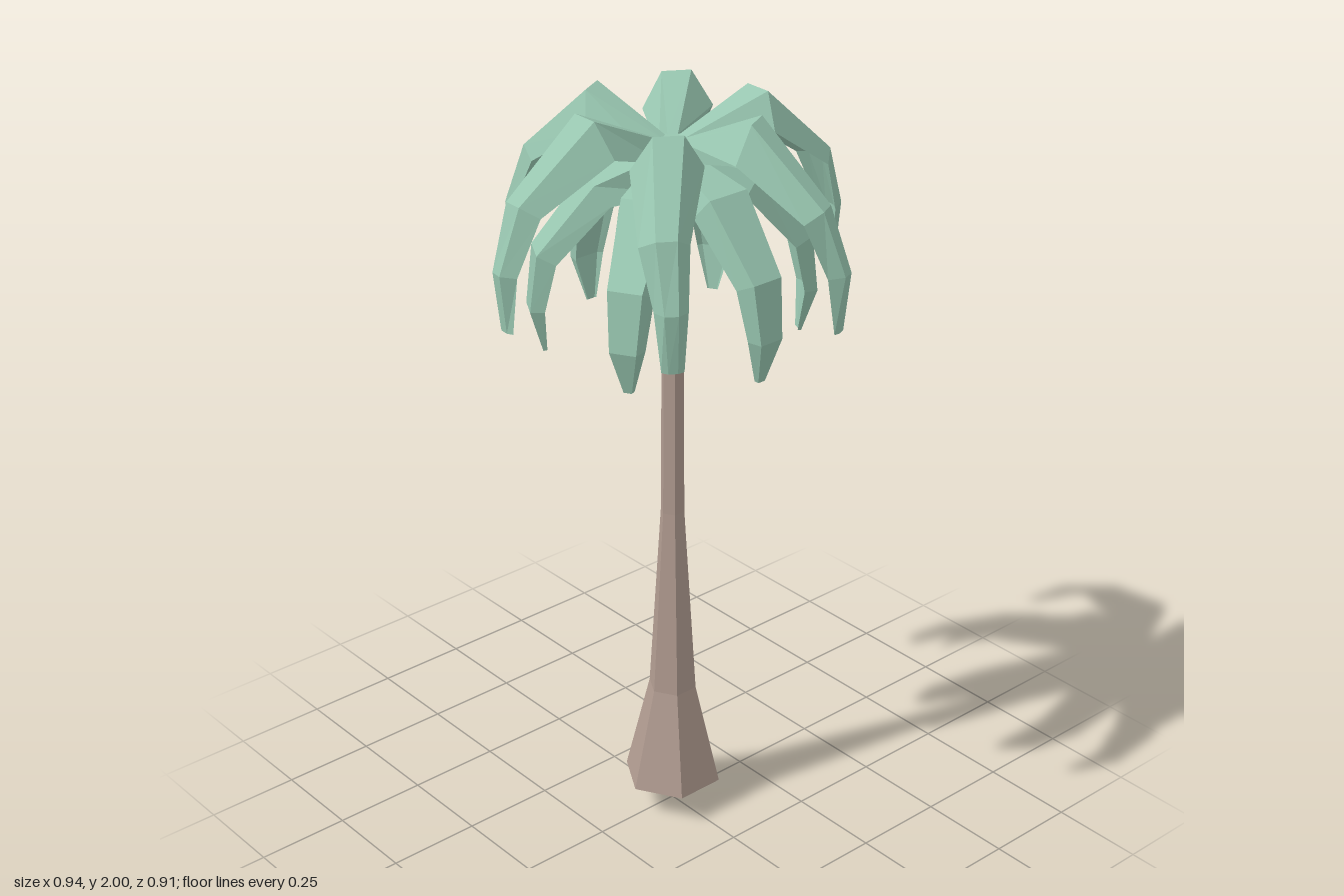
import * as THREE from 'three';

const barkMat = new THREE.MeshStandardMaterial({ color: 0xb19c91, flatShading: true });
const leafMat = new THREE.MeshStandardMaterial({ color: 0x98c6b0, flatShading: true });

// Frond that runs out along +x. Each ring: [x, y, z, halfWidth, depth, yaw];
// ridge is the share of the width taken by the flat top.
function frondGeometry(rings, ridge) {
  const centers = rings.map((r) => new THREE.Vector3(r[0], r[1], r[2]));
  const pos = [];
  const idx = [];
  rings.forEach(([, , , w, d, yaw], i) => {
    const prev = centers[Math.max(i - 1, 0)];
    const next = centers[Math.min(i + 1, rings.length - 1)];
    const tangent = next.clone().sub(prev).normalize();
    const side = new THREE.Vector3(-Math.sin(yaw), 0, Math.cos(yaw));
    const up = side.clone().cross(tangent).normalize();
    // folded cross-section: flat ridge, drooping edges, hollow underside
    const a = w * ridge;
    const section = [[-w, -d], [-a, 0], [a, 0], [w, -d], [a, -d * 0.7], [-a, -d * 0.7]];
    for (const [s, u] of section) {
      const p = centers[i].clone().addScaledVector(side, s).addScaledVector(up, u);
      pos.push(p.x, p.y, p.z);
    }
  });
  const n = 6;
  for (let i = 0; i < rings.length - 1; i++) {
    for (let j = 0; j < n; j++) {
      const a = i * n + j;
      const b = i * n + ((j + 1) % n);
      idx.push(a, b, b + n, a, b + n, a + n);
    }
  }
  // end caps
  const e = (rings.length - 1) * n;
  for (const [a, b, c] of [[0, 1, 5], [1, 2, 4], [1, 4, 5], [2, 3, 4]]) {
    idx.push(e + a, e + b, e + c, c, b, a);
  }
  const g = new THREE.BufferGeometry();
  g.setAttribute('position', new THREE.Float32BufferAttribute(pos, 3));
  g.setIndex(idx);
  g.computeVertexNormals();
  return g;
}

// Six copies of a frond around the crown
function frondRing(name, rings, ridge, startAngle) {
  const group = new THREE.Group();
  group.name = name;
  const geometry = frondGeometry(rings, ridge);
  for (let k = 0; k < 6; k++) {
    const frond = new THREE.Mesh(geometry, leafMat);
    frond.name = 'frond';
    frond.rotation.y = -(startAngle + (k * Math.PI) / 3);
    group.add(frond);
  }
  return group;
}

export function createModel() {
  const model = new THREE.Group();
  model.name = 'palmTree';

  // six-sided trunk with a swollen, pointed foot
  const profile = [[0, 0], [0.133, 0.085], [0.065, 0.37], [0.032, 0.9], [0.029, 1.4], [0.029, 1.86], [0, 1.86]]
    .map(([x, y]) => new THREE.Vector2(x, y));
  const trunk = new THREE.Mesh(new THREE.LatheGeometry(profile, 6, Math.PI / 2), barkMat);
  trunk.name = 'trunk';
  model.add(trunk);

  // hub where the fronds meet
  const hub = new THREE.Mesh(new THREE.CylinderGeometry(0.04, 0.038, 0.13, 6), leafMat);
  hub.name = 'crownHub';
  hub.position.y = 1.845;
  hub.rotation.y = Math.PI / 2;
  model.add(hub);

  // upper fronds rise, then droop with a slight sideways sweep
  model.add(frondRing('upperFronds', [
    [0.025, 1.91, 0.005, 0.03, 0.05, 0],
    [0.225, 2.0, 0.053, 0.088, 0.088, 0.03],
    [0.412, 1.82, 0.093, 0.06, 0.045, 0.04],
    [0.468, 1.66, 0.092, 0.04, 0.035, 0.15],
    [0.454, 1.51, 0.086, 0.027, 0.008, 0.08],
  ], 0.42, 0));

  // lower fronds slope down from the hub and hang closer to the trunk
  model.add(frondRing('lowerFronds', [
    [0.025, 1.88, 0, 0.035, 0.1, 0],
    [0.2, 1.825, 0, 0.078, 0.06, 0],
    [0.34, 1.65, 0, 0.058, 0.05, 0],
    [0.358, 1.5, 0, 0.045, 0.035, 0],
    [0.325, 1.385, 0, 0.014, 0.01, 0],
  ], 0.75, Math.PI / 6));

  return model;
}
